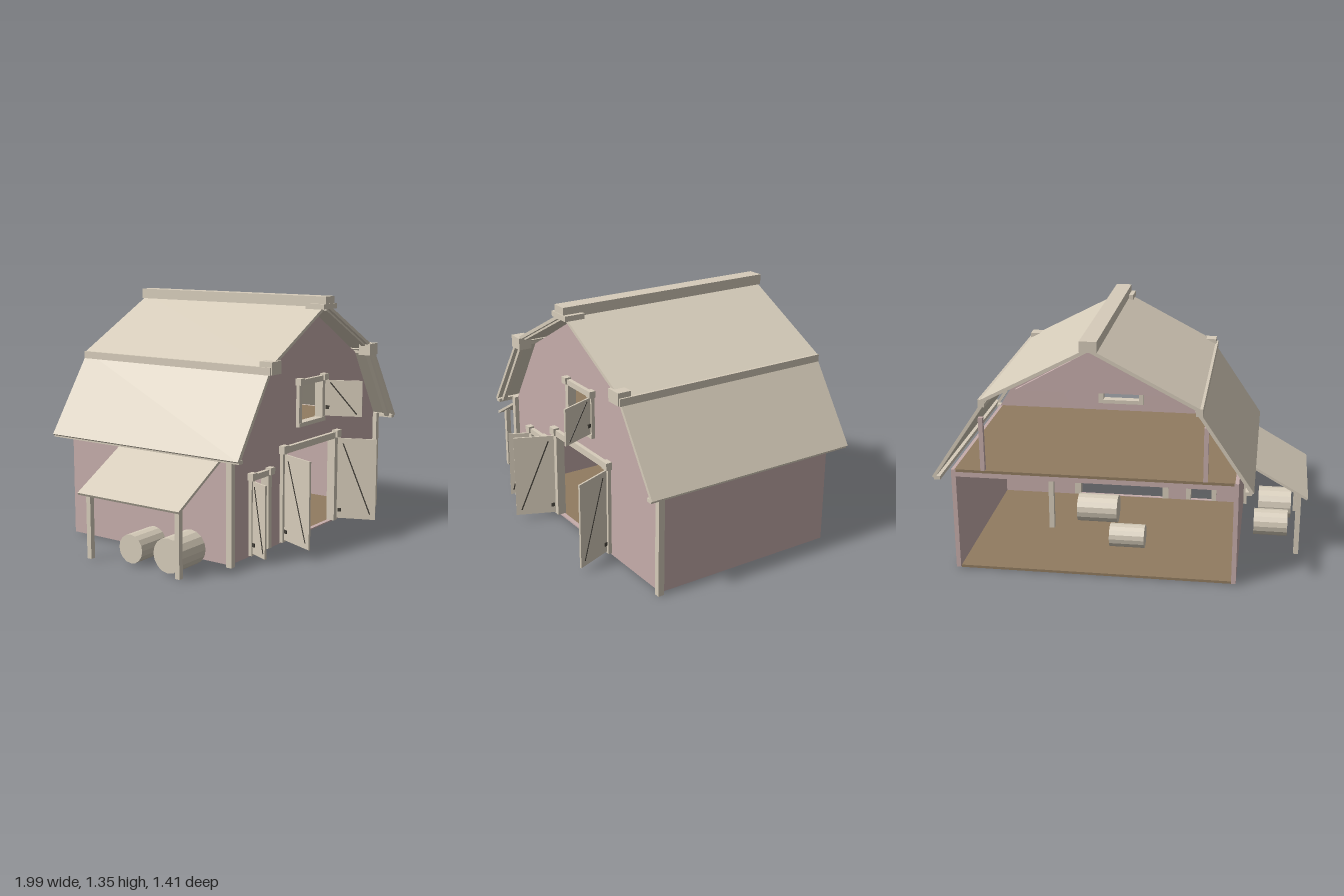
import * as THREE from 'three';

const CX = 0.145; // barn centre line

const mat = (name, color, side = THREE.FrontSide) => {
  const m = new THREE.MeshStandardMaterial({ color, side });
  m.name = name;
  return m;
};

export function createModel() {
  const root = new THREE.Group();
  root.name = 'barn';
  const trim = mat('pale timber', 0xd6ccba);
  const wall = mat('faded red boards', 0xc6adab);
  const wood = mat('brown floor', 0x917b60);
  const iron = mat('dark iron', 0x45413a);

  const add = (name, geo, material, parent = root) => {
    const m = new THREE.Mesh(geo, material);
    m.name = name;
    parent.add(m);
    return m;
  };
  // box given by its limits
  const box = (name, x0, x1, y0, y1, z0, z1, material = trim, parent = root) => {
    const m = add(name, new THREE.BoxGeometry(x1 - x0, y1 - y0, z1 - z0), material, parent);
    m.position.set((x0 + x1) / 2, (y0 + y1) / 2, (z0 + z1) / 2);
    return m;
  };
  // slab whose upper face runs from (ax, ay) to (bx, by)
  const slab = (name, ax, ay, bx, by, t, z0, z1, material = trim) => {
    const len = Math.hypot(bx - ax, by - ay);
    const s = bx > ax ? 1 : -1;
    const nx = (-(by - ay) / len) * s, ny = ((bx - ax) / len) * s;
    const m = add(name, new THREE.BoxGeometry(len, t, z1 - z0), material);
    m.position.set((ax + bx) / 2 - nx * t / 2, (ay + by) / 2 - ny * t / 2, (z0 + z1) / 2);
    m.rotation.z = Math.atan2((by - ay) * s, (bx - ax) * s);
    return m;
  };
  const extrude = (name, pts, holes, z0, depth) => {
    const shape = new THREE.Shape(pts.map(p => new THREE.Vector2(...p)));
    for (const [x0, x1, y0, y1] of holes) {
      shape.holes.push(new THREE.Path([[x0, y0], [x0, y1], [x1, y1], [x1, y0]].map(p => new THREE.Vector2(...p))));
    }
    const m = add(name, new THREE.ExtrudeGeometry(shape, { depth, bevelEnabled: false }), wall);
    m.position.z = z0;
  };

  // floors
  box('groundFloor', -0.605, 0.89, 0, 0.014, -0.6, 0.45, wood);
  box('loftFloor', -0.605, 0.895, 0.575, 0.592, -0.615, 0.44, wood);

  // front wall with door and window openings
  const openings = [
    [-0.12, 0.41, 0.016, 0.515],
    [-0.43, -0.29, 0.016, 0.425],
    [0.03, 0.26, 0.655, 0.87],
  ];
  extrude('frontWall', [
    [CX - 0.765, 0.008], [CX + 0.765, 0.008], [CX + 0.765, 0.59], [CX + 0.515, 0.99],
    [CX, 1.28], [CX - 0.515, 0.99], [CX - 0.765, 0.59],
  ], openings, 0.44, 0.025);

  // small gable panel at the open back
  extrude('backGable', [[CX - 0.4, 1.055], [CX + 0.4, 1.055], [CX, 1.28]], [], -0.615, 0.025);

  // loft edge beam and its posts
  box('loftBeam', -0.6, 0.89, 0.55, 0.577, -0.615, -0.59, wall);
  for (const x of [-0.45, 0.74]) box('loftPost', x - 0.012, x + 0.012, 0.59, 0.89, -0.615, -0.59, wall);
  box('innerPost', 0.475, 0.505, 0.01, 0.58, -0.07, -0.04);

  // both sides: wall, corner post, roof slopes, rafters and knee beams
  for (const s of [-1, 1]) {
    const X = d => CX + s * d;
    const sideBox = (name, d0, d1, y0, y1, z0, z1, material) =>
      box(name, Math.min(X(d0), X(d1)), Math.max(X(d0), X(d1)), y0, y1, z0, z1, material);
    sideBox('sideWall', 0.745, 0.77, 0.008, 0.59, -0.615, 0.455, wall);
    sideBox('cornerPost', 0.758, 0.79, 0, 0.59, 0.455, 0.49);
    slab('upperRoof', X(0), 1.315, X(0.565), 1.02, 0.018, -0.695, 0.57);
    slab('lowerRoof', X(0.555), 1.015, X(0.85), 0.578, 0.018, -0.695, 0.57);
    sideBox('eaveBeam', 0.805, 0.838, 0.562, 0.582, -0.695, 0.57);
    sideBox('kneeBeam', 0.545, 0.58, 0.98, 1.02, -0.695, 0.58);
    sideBox('kneeBlock', 0.478, 0.57, 0.98, 1.048, 0.51, 0.585);
    slab('upperRafter', X(0.03), 1.283, X(0.53), 1.022, 0.014, 0.527, 0.552);
    slab('lowerRafter', X(0.545), 0.985, X(0.81), 0.58, 0.018, 0.527, 0.552);
  }
  box('ridgeCap', CX - 0.045, CX + 0.045, 1.295, 1.352, -0.705, 0.588);
  box('ridgeBlock', CX - 0.07, CX + 0.07, 1.283, 1.312, 0.475, 0.592);

  // frames around the openings
  const frame = (name, [x0, x1, y0, y1], w, h, sill) => {
    const g = new THREE.Group();
    g.name = name;
    root.add(g);
    for (const [x, s] of [[x0, -1], [x1, 1]]) {
      const a = x - s * 0.005, b = x + s * w;
      box('jamb', Math.min(a, b), Math.max(a, b), y0, y1, 0.435, 0.485, trim, g);
      const c = x + s * (w + 0.01);
      box('cornerBlock', Math.min(a, c), Math.max(a, c), y1, y1 + h + 0.01, 0.46, 0.5, trim, g);
    }
    box('lintel', x0, x1, y1 - 0.004, y1 + h, 0.435, 0.488, trim, g);
    if (sill) box('sill', x0 - w, x1 + w, y0 - 0.02, y0 + 0.003, 0.435, 0.488, trim, g);
  };
  frame('mainDoorFrame', openings[0], 0.035, 0.033, false);
  frame('smallDoorFrame', openings[1], 0.025, 0.028, false);
  frame('windowFrame', openings[2], 0.025, 0.027, true);

  // open leaves: hinge (x0, z0), free edge (x1, z1)
  const leaf = (name, x0, z0, x1, z1, y0, y1) => {
    const len = Math.hypot(x1 - x0, z1 - z0), h = y1 - y0, t = 0.01;
    const g = new THREE.Group();
    g.name = name;
    g.position.set(x0, y0, z0);
    g.rotation.y = Math.atan2(-(z1 - z0), x1 - x0);
    root.add(g);
    box('panel', 0, len, 0, h, -t / 2, t / 2, trim, g);
    // diagonal brace on both faces
    const dx = len * 0.72, dy = h * 0.87;
    const brace = add('brace', new THREE.BoxGeometry(Math.hypot(dx, dy), 0.007, t + 0.004), iron, g);
    brace.position.set(len * 0.5, h * 0.5, 0);
    brace.rotation.z = Math.atan2(-dy, dx);
    box('latch', 0.005, 0.025, 0.04, 0.06, -t / 2 - 0.006, t / 2 + 0.006, iron, g);
  };
  leaf('mainDoorLeft', 0.43, 0.49, 0.515, 0.7, 0.03, 0.51);
  leaf('mainDoorRight', -0.137, 0.49, -0.225, 0.7, 0.03, 0.51);
  leaf('smallDoor', -0.445, 0.49, -0.495, 0.6, 0.03, 0.42);
  leaf('windowShutter', 0.275, 0.49, 0.355, 0.685, 0.665, 0.87);

  // lean-to on the right side
  slab('leanToRoof', -0.62, 0.582, -0.997, 0.365, 0.014, -0.24, 0.425);
  for (const z of [-0.2, 0.385]) box('leanToPost', -0.96, -0.932, 0.008, 0.385, z - 0.014, z + 0.014);

  // round hay bales lying along x
  const bale = (x0, x1, y0, r, z) => {
    const geo = new THREE.CylinderGeometry(r, r, x1 - x0, 16).rotateZ(Math.PI / 2).toNonIndexed();
    geo.computeVertexNormals();
    add('hayBale', geo, trim).position.set((x0 + x1) / 2, y0 + r, z);
  };
  bale(0.11, 0.35, 0.014, 0.083, 0.07);
  bale(-0.09, 0.11, 0.014, 0.067, -0.25);
  bale(-0.915, -0.72, 0.008, 0.092, 0.29);
  bale(-0.895, -0.7, 0.008, 0.077, 0.03);

  return root;
}
